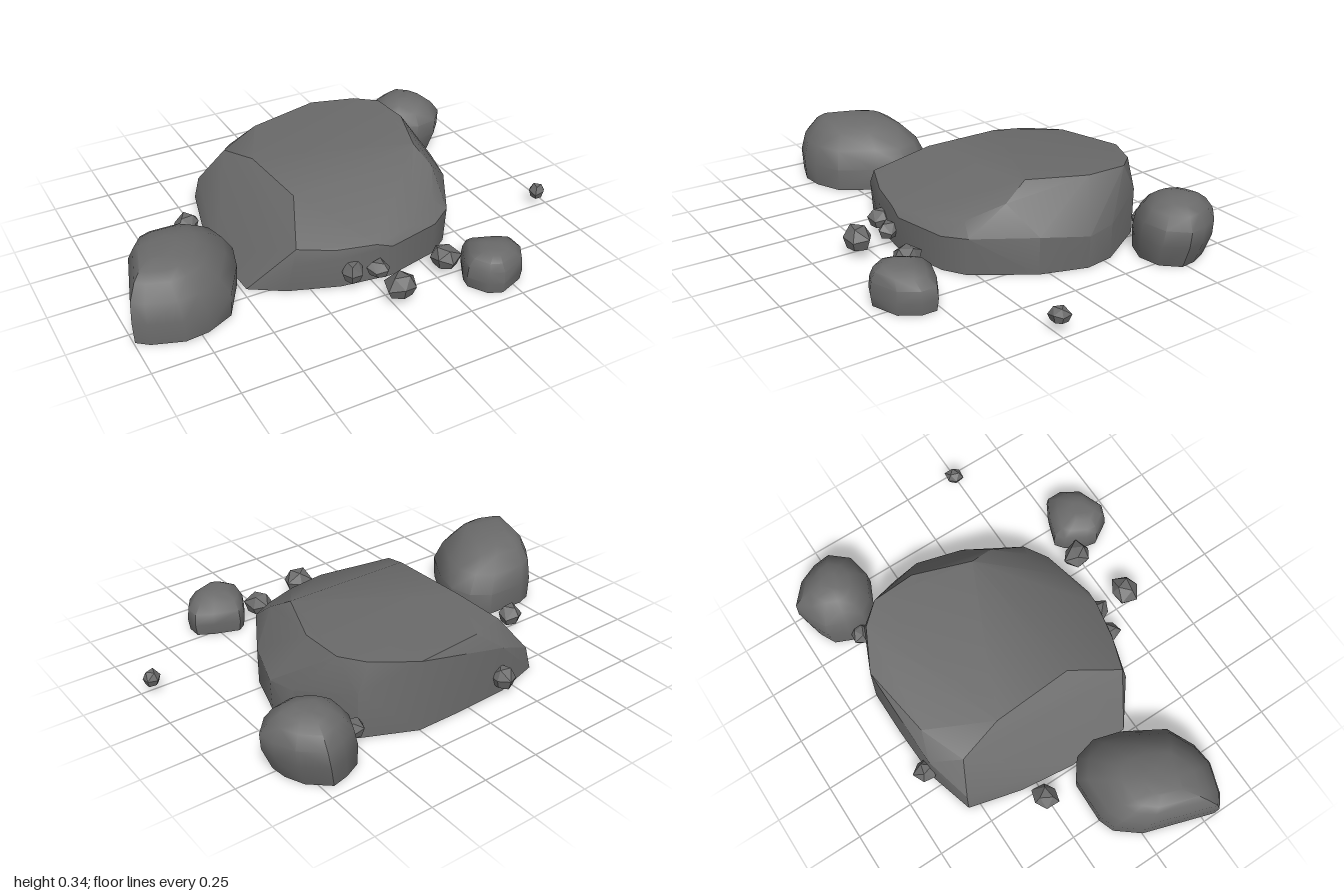
import * as THREE from 'three';
import { toCreasedNormals } from 'three/addons/utils/BufferGeometryUtils.js';
import { ConvexGeometry } from 'three/addons/geometries/ConvexGeometry.js';

const stone = new THREE.MeshStandardMaterial({ color: 0x6b6b6b });
stone.name = 'grey stone';

// Convex stone from [x, y, z] points; edges sharper than the crease stay hard
function hullMesh(name, points, crease) {
  const hull = new ConvexGeometry(points.map((p) => new THREE.Vector3(...p)));
  const mesh = new THREE.Mesh(toCreasedNormals(hull, crease), stone);
  mesh.name = name;
  return mesh;
}

// Boulder from a ground outline [x, z], repeated at levels [y, scale, dx, dz]
function boulder(name, [cx, cz], outline, levels) {
  const points = levels.flatMap(([y, s, dx = 0, dz = 0]) =>
    outline.map(([x, z]) => [cx + (x - cx) * s + dx, y, cz + (z - cz) * s + dz]));
  return hullMesh(name, points, 0.75);
}

// Small chipped stone with an irregular six-sided waist
function pebble([x, z, r, bottom, top], seed) {
  const points = [];
  for (let i = 0; i < 6; i++) {
    const a = (i / 6) * Math.PI * 2 + seed * 1.3;
    const k = r * (0.93 + 0.12 * Math.sin(seed * 5 + i * 2.4));
    const waist = bottom + (top - bottom) * (0.5 + 0.12 * Math.sin(seed + i * 3));
    points.push([x + Math.cos(a) * k, waist, z + Math.sin(a) * k]);
    points.push([x + Math.cos(a) * k * 0.75, bottom, z + Math.sin(a) * k * 0.75]);
    if (i % 2) points.push([x + Math.cos(a) * k * 0.55, top, z + Math.sin(a) * k * 0.55]);
  }
  return hullMesh('pebble', points, 0.2);
}

export function createModel() {
  const group = new THREE.Group();
  group.name = 'rocks';

  // Main slab: ground outline, steep sides, then the sloping top
  const ground = [
    [-0.40, -0.55], [-0.19, -0.61], [0.05, -0.62], [0.25, -0.62], [0.47, -0.52],
    [0.61, -0.29], [0.63, -0.16], [0.57, 0.04], [0.42, 0.28], [0.33, 0.34],
    [0.09, 0.395], [-0.13, 0.365], [-0.34, 0.29], [-0.48, 0.2], [-0.49, -0.08], [-0.46, -0.32],
  ];
  const sides = [
    [0.47, 0.2, -0.52], [0.61, 0.15, -0.29], [0.635, 0.14, -0.16], [0.57, 0.16, 0.04],
    [0.43, 0.16, 0.28], [0.33, 0.15, 0.345], [0.09, 0.15, 0.4], [-0.13, 0.14, 0.37],
    [-0.32, 0.14, 0.31], [-0.38, 0.1, -0.54], [-0.19, 0.2, -0.6],
  ];
  const crown = [
    [0.44, 0.34, -0.03], [0.45, 0.28, 0.12], [0.37, 0.21, 0.26], [0.2, 0.185, 0.35],
    [0.02, 0.175, 0.39], [-0.15, 0.18, 0.355], [-0.3, 0.2, 0.3], [-0.2, 0.3, 0.08],
    [-0.22, 0.295, -0.28], [-0.27, 0.25, -0.48], [-0.08, 0.285, -0.56], [0.24, 0.305, -0.61],
    [0.42, 0.325, -0.52], [0.5, 0.335, -0.43], [0.51, 0.34, -0.24], [0.42, 0.345, 0.01],
  ];
  group.add(hullMesh('mainRock', [...ground.map(([x, z]) => [x, 0, z]), ...sides, ...crown], 0.5));

  // Three boulders around it
  group.add(boulder('leftBoulder', [-0.74, 0.14], [
    [-1, 0.31], [-0.9, 0.0], [-0.82, -0.1], [-0.75, -0.125], [-0.57, -0.12], [-0.49, -0.06],
    [-0.465, 0.04], [-0.5, 0.16], [-0.6, 0.33], [-0.72, 0.385], [-0.82, 0.395], [-0.95, 0.35],
  ], [[0, 0.98], [0.1, 1], [0.18, 0.89, -0.02], [0.24, 0.68, -0.04], [0.265, 0.52, -0.05], [0.28, 0.26, -0.06]]));

  group.add(boulder('backBoulder', [0.7, -0.54], [
    [0.73, -0.72], [0.82, -0.64], [0.86, -0.55], [0.87, -0.47], [0.8, -0.39], [0.69, -0.37],
    [0.58, -0.42], [0.53, -0.49], [0.53, -0.57], [0.57, -0.66], [0.65, -0.7],
  ], [[0, 0.88, -0.02], [0.1, 0.99], [0.17, 0.96, 0.01], [0.22, 0.75, 0.01], [0.25, 0.52, 0.01], [0.265, 0.24, 0.01]]));

  group.add(boulder('frontBoulder', [0.46, 0.58], [
    [0.32, 0.61], [0.33, 0.56], [0.38, 0.47], [0.42, 0.44], [0.53, 0.48], [0.6, 0.52],
    [0.6, 0.59], [0.55, 0.67], [0.43, 0.715], [0.37, 0.69],
  ], [[0, 0.95], [0.05, 1], [0.1, 0.96], [0.135, 0.76, -0.01, 0.01], [0.155, 0.46, -0.01, 0.02], [0.16, 0.25, -0.01, 0.02]]));

  // Scattered pebbles: x, z, radius, bottom, top
  [
    [0.955, 0.235, 0.043, 0.045, 0.1], [0.295, 0.48, 0.068, 0.045, 0.125],
    [0.035, 0.56, 0.07, 0.042, 0.13], [-0.09, 0.385, 0.055, 0.042, 0.115],
    [0.02, 0.41, 0.052, 0.045, 0.105], [-0.55, -0.26, 0.062, 0.042, 0.115],
    [-0.18, -0.62, 0.058, 0.042, 0.12], [0.51, -0.535, 0.05, 0.045, 0.11],
  ].forEach((p, i) => group.add(pebble(p, i + 1)));

  return group;
}
